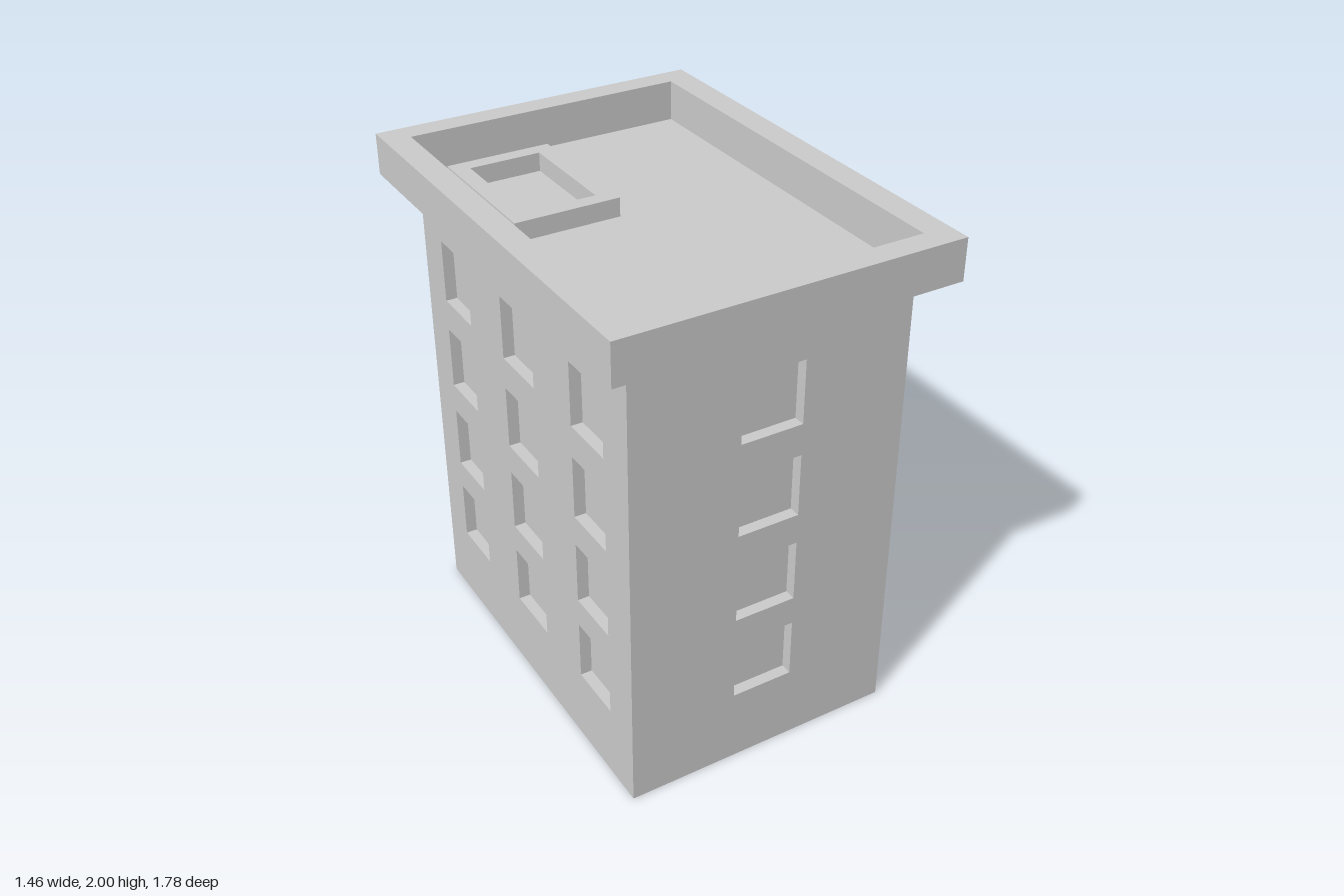
import * as THREE from 'three';

const grey = new THREE.MeshStandardMaterial({ color: 0xcccccc, flatShading: true, side: THREE.DoubleSide });

const CX = -0.0725;            // centre of the tower in x
const W = 1.095, D = 1.56;     // tower footprint
const WALL_H = 1.84, TOP = 2;
const RECESS = 0.045;
const ROWS = [[0.3, 0.54], [0.655, 0.905], [1.025, 1.275], [1.4, 1.65]];

function add(parent, geometry, name) {
  const mesh = new THREE.Mesh(geometry, grey);
  mesh.name = name;
  parent.add(mesh);
  return mesh;
}

// Box from its minimum and maximum corners
function box(parent, name, [x0, y0, z0], [x1, y1, z1]) {
  const mesh = add(parent, new THREE.BoxGeometry(x1 - x0, y1 - y0, z1 - z0), name);
  mesh.position.set((x0 + x1) / 2, (y0 + y1) / 2, (z0 + z1) / 2);
  return mesh;
}

function rectangle(Type, x0, y0, x1, y1) {
  const r = new Type();
  r.moveTo(x0, y0).lineTo(x1, y0).lineTo(x1, y1).lineTo(x0, y1).closePath();
  return r;
}

// Wall sheet facing +z with openings, each closed by a shallow open-fronted box
function wall(name, width, openings) {
  const group = new THREE.Group();
  group.name = name;
  const shape = rectangle(THREE.Shape, -width / 2, 0, width / 2, WALL_H);
  for (const [x, w, y0, y1] of openings) {
    shape.holes.push(rectangle(THREE.Path, x - w / 2, y0, x + w / 2, y1));
    const niche = new THREE.BoxGeometry(w, y1 - y0, RECESS);
    const index = Array.from(niche.index.array);
    index.splice(24, 6); // leave out the front face
    niche.setIndex(index);
    niche.clearGroups();
    add(group, niche, 'windowRecess').position.set(x, (y0 + y1) / 2, -RECESS / 2);
  }
  add(group, new THREE.ShapeGeometry(shape), 'wallSheet');
  return group;
}

// Flat rectangular ring in the xz plane, raised from y0 to y1
function ring(parent, name, outer, inner, y0, y1) {
  const [ax, az, bx, bz] = outer;
  const [cx, cz, dx, dz] = inner;
  const shape = rectangle(THREE.Shape, ax, -bz, bx, -az);
  shape.holes.push(rectangle(THREE.Path, cx, -dz, dx, -cz));
  const geometry = new THREE.ExtrudeGeometry(shape, { depth: y1 - y0, bevelEnabled: false });
  geometry.rotateX(-Math.PI / 2);
  add(parent, geometry, name).position.y = y0;
}

// Thin bar sloping in the xy plane between two points
function slope(parent, name, [x0, y0], [x1, y1], thick, z, depth) {
  const bar = add(parent, new THREE.BoxGeometry(Math.hypot(x1 - x0, y1 - y0), thick, depth), name);
  bar.position.set((x0 + x1) / 2, (y0 + y1) / 2, z);
  bar.rotation.z = Math.atan2(y1 - y0, x1 - x0);
}

export function createModel() {
  const model = new THREE.Group();
  model.name = 'apartmentBlock';

  // Window layouts: one column on the ends, three on the long sides
  const narrow = ROWS.map(([a, b]) => [0, 0.245, a, b]);
  const wide = [-0.507, 0, 0.507].flatMap((x) => ROWS.map(([a, b]) => [x, x ? 0.225 : 0.24, a, b]));
  const doorSide = wide.filter(([x, , y]) => x !== 0 || y > 0.6);

  // Four walls, open underneath
  const walls = [
    ['frontWall', W, narrow, 0, D / 2],
    ['rightWall', D, doorSide, 1, W / 2],
    ['backWall', W, narrow, 2, D / 2],
    ['leftWall', D, wide, 3, W / 2],
  ];
  for (const [name, width, openings, turn, offset] of walls) {
    const side = wall(name, width, openings);
    const angle = turn * Math.PI / 2;
    side.rotation.y = angle;
    side.position.set(CX + Math.sin(angle) * offset, 0, Math.cos(angle) * offset);
    model.add(side);
  }

  // Roof with overhanging parapet and a raised hatch
  const roof = new THREE.Group();
  roof.name = 'roof';
  model.add(roof);
  ring(roof, 'parapet', [-0.73, -0.895, 0.585, 0.89], [-0.63, -0.8, 0.48, 0.795], WALL_H, TOP);
  const floor = add(roof, new THREE.PlaneGeometry(1.12, 1.6), 'roofFloor');
  floor.rotation.x = -Math.PI / 2;
  floor.position.set(-0.075, WALL_H + 0.002, 0);
  ring(roof, 'roofHatch', [-0.55, -0.67, -0.14, -0.11], [-0.485, -0.61, -0.205, -0.17], WALL_H, 1.915);

  // Entrance: door, sloping canopy, two steps
  const entrance = new THREE.Group();
  entrance.name = 'entrance';
  model.add(entrance);
  const face = CX + W / 2;
  box(entrance, 'door', [face, 0.115, -0.12], [0.51, 0.535, 0.12]);
  slope(entrance, 'canopy', [0.474, 0.576], [0.59, 0.519], 0.012, 0, 0.4);
  box(entrance, 'upperStep', [face, 0, -0.163], [0.595, 0.115, 0.163]);
  box(entrance, 'lowerStep', [0.595, 0, -0.163], [0.7, 0.056, 0.163]);

  // Handrails on both sides of the steps
  for (const z of [-0.145, 0.145]) {
    const r = 0.007;
    box(entrance, 'upperPost', [0.573, 0.115, z - r], [0.588, 0.308, z + r]);
    box(entrance, 'lowerPost', [0.673, 0.056, z - r], [0.688, 0.25, z + r]);
    slope(entrance, 'handrail', [0.566, 0.32], [0.723, 0.23], 0.016, z, 0.016);
  }
  return model;
}
